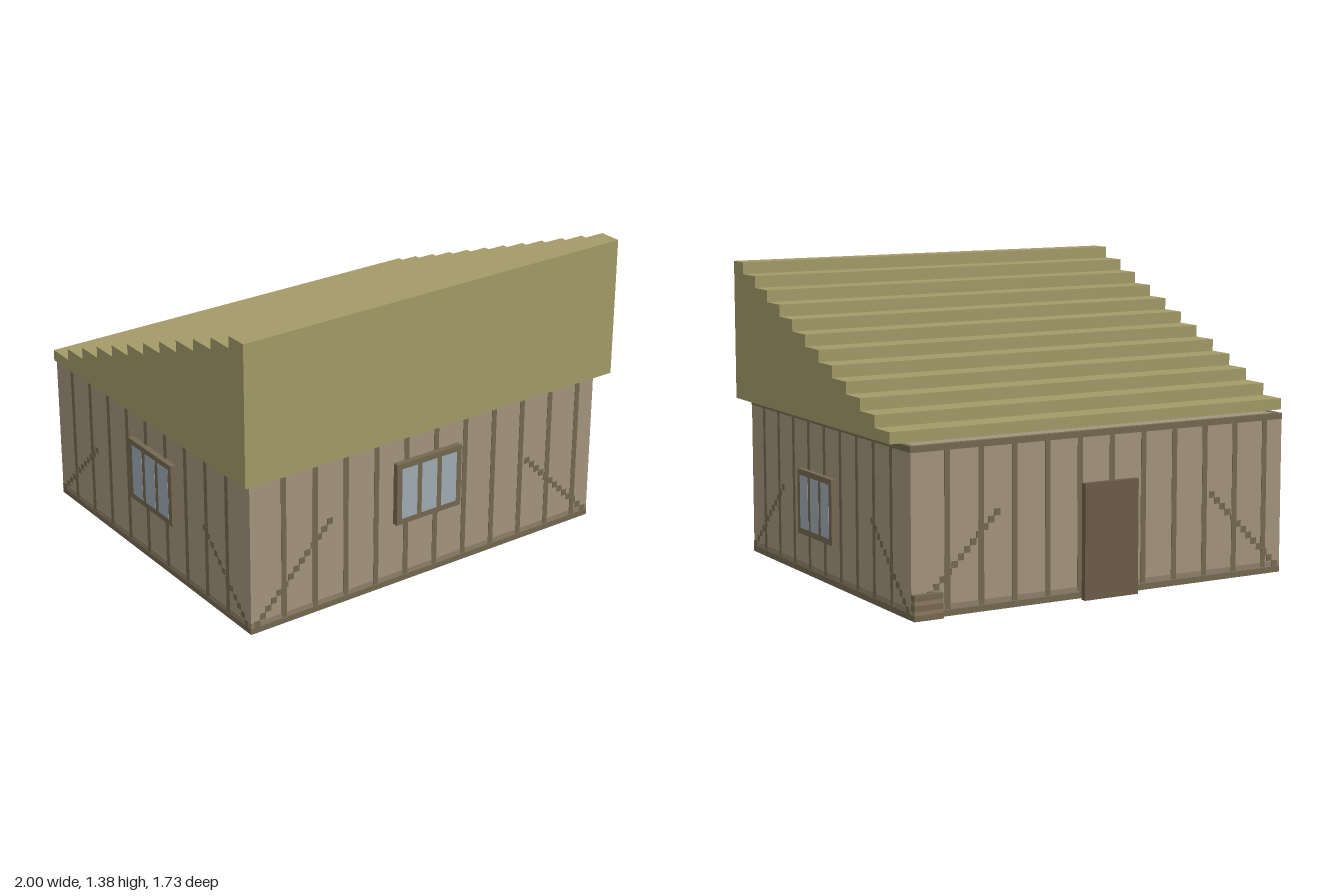
import * as THREE from 'three';

const mat = (color) => new THREE.MeshStandardMaterial({ color, flatShading: true });
const plaster = mat(0xa3937c), timber = mat(0x746850), sill = mat(0x8e7f69);
const thatch = mat(0xa39a68), glass = mat(0x9fabb3), doorWood = mat(0x6c5c48), stepWood = mat(0x8a795f);

const HX = 0.945, HZ = 0.81, WALL = 0.73, PROUD = 0.002;

// Box given by its minimum and maximum corners
function box(parent, name, material, x0, x1, y0, y1, z0, z1) {
  const mesh = new THREE.Mesh(new THREE.BoxGeometry(x1 - x0, y1 - y0, z1 - z0), material);
  mesh.position.set((x0 + x1) / 2, (y0 + y1) / 2, (z0 + z1) / 2);
  mesh.name = name;
  parent.add(mesh);
  return mesh;
}

// Framed three-pane window lying on the local z = 0 plane
function makeWindow(cx, y0) {
  const g = new THREE.Group();
  g.name = 'window';
  const w = 0.354, h = 0.296, rim = 0.027, bar = 0.025;
  const pane = (w - 2 * rim - 2 * bar) / 3;
  box(g, 'windowFrame', timber, cx - w / 2, cx + w / 2, y0, y0 + h, 0, 0.027);
  for (let i = 0; i < 3; i++) {
    const x = cx - w / 2 + rim + i * (pane + bar);
    box(g, 'windowPane', glass, x, x + pane, y0 + rim, y0 + h - rim, 0.02, 0.028);
  }
  return g;
}

// Timber framing of one wall: local x runs along the wall, z points outward
function makeFraming(name, half, firstPost, posts, leftSteps, rightSteps) {
  const g = new THREE.Group();
  g.name = name;
  for (let i = 0; i < posts; i++) {
    const x = firstPost + i * 0.1625;
    box(g, 'post', timber, x - 0.013, x + 0.013, 0.03, 0.71, -0.005, PROUD);
  }
  box(g, 'sillBand', sill, -half, half, 0.026, 0.052, -0.005, PROUD * 0.7);
  box(g, 'baseBeam', timber, -half, half, 0, 0.027, -0.005, PROUD);
  box(g, 'topBeam', timber, -half, half, 0.705, WALL + PROUD, -0.022, PROUD);
  // Diagonal braces made of small stepped blocks
  for (const [side, count] of [[-1, leftSteps], [1, rightSteps]]) {
    for (let i = 0; i < count; i++) {
      const x = side * (half - 0.03 - i * 0.0292), y = 0.042 + i * 0.0292;
      box(g, 'braceBlock', timber, x - 0.0145, x + 0.0145, y - 0.0145, y + 0.0145, -0.005, PROUD * 1.3);
    }
  }
  return g;
}

// Lean-to roof with a stepped slope, extruded across the width
function makeRoof() {
  const bottom = 0.734, steps = 12, run = 0.1354, rise = 0.0543, back = -0.73;
  const shape = new THREE.Shape();
  // Shape x is -z of the model, so it is turned a quarter round afterwards
  shape.moveTo(-0.865, bottom);
  shape.lineTo(-back, bottom);
  for (let i = 0; i < steps; i++) {
    const y = 0.785 + i * rise;
    shape.lineTo(-back - i * run, y);
    shape.lineTo(i === steps - 1 ? -0.865 : -back - (i + 1) * run, y);
  }
  const geo = new THREE.ExtrudeGeometry(shape, { depth: 2, bevelEnabled: false });
  geo.translate(0, 0, -1).rotateY(Math.PI / 2);
  const roof = new THREE.Mesh(geo, thatch);
  roof.name = 'roof';
  return roof;
}

export function createModel() {
  const model = new THREE.Group();
  model.name = 'shed';
  box(model, 'walls', plaster, -HX, HX, 0.01, WALL, -HZ, HZ);
  box(model, 'floor', timber, -HX, HX, 0, 0.012, -HZ, HZ);
  model.add(makeRoof());

  // Framing on the four sides
  const sides = [
    ['frontFraming', HX, HZ, 0, -0.775, 11, 14, 13],
    ['backFraming', HX, HZ, Math.PI, -0.775, 11, 14, 13],
    ['leftFraming', HZ, HX, Math.PI / 2, -0.665, 9, 12, 12],
    ['rightFraming', HZ, HX, -Math.PI / 2, -0.665, 9, 12, 12],
  ];
  const windows = {
    frontFraming: [-0.0175, 0.302],
    leftFraming: [-0.07, 0.191],
    rightFraming: [0.055, 0.274],
  };
  for (const [name, half, out, turn, first, posts, l, r] of sides) {
    const g = makeFraming(name, half, first, posts, l, r);
    if (windows[name]) g.add(makeWindow(...windows[name]));
    g.rotation.y = turn;
    g.position.set(Math.sin(turn) * out, 0, Math.cos(turn) * out);
    model.add(g);
  }

  // Back door: inner panel with a wider outer leaf
  box(model, 'doorPanel', doorWood, -0.11, 0.103, 0, 0.485, -0.838, -HZ);
  box(model, 'doorLeaf', doorWood, -0.14, 0.132, 0, 0.512, -0.865, -0.838);

  // Small plank box at the back corner
  box(model, 'cornerBox', stepWood, 0.81, HX, 0, 0.11, -0.838, -HZ);
  for (const y of [0, 0.042, 0.085]) {
    box(model, 'cornerBoxPlank', timber, 0.809, HX + 0.001, y, y + 0.025, -0.84, -HZ);
  }
  return model;
}
